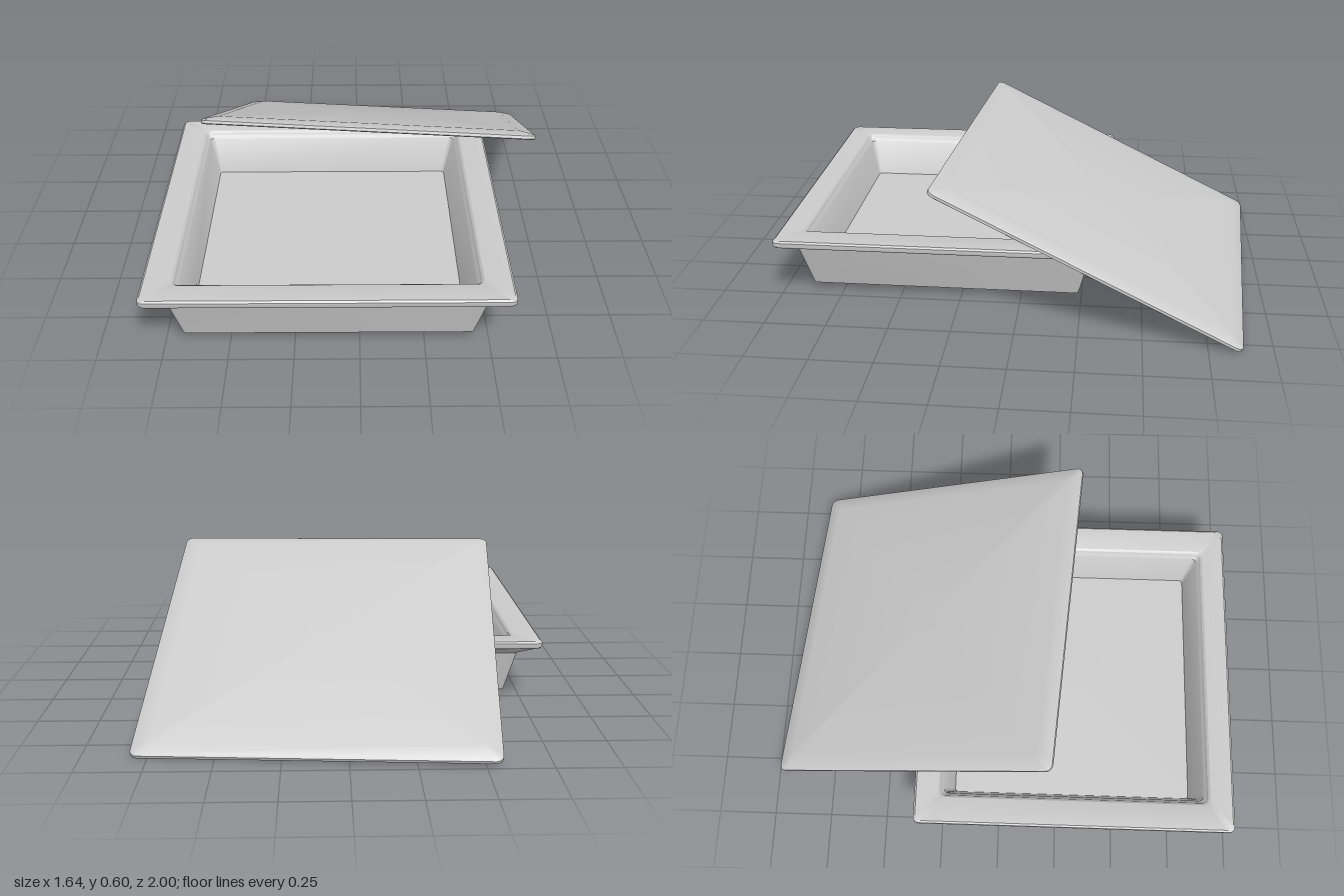
import * as THREE from 'three';
import { mergeVertices, toCreasedNormals } from 'three/addons/utils/BufferGeometryUtils.js';

const CORNER_STEPS = 5;

// Rounded rectangle in the xz plane, running from +x towards +z
function ring(hw, hd, y, r) {
  const pts = [];
  const centres = [[1, 1], [-1, 1], [-1, -1], [1, -1]];
  centres.forEach(([sx, sz], q) => {
    for (let i = 0; i <= CORNER_STEPS; i++) {
      const a = (q + i / CORNER_STEPS) * Math.PI / 2;
      pts.push([sx * (hw - r) + r * Math.cos(a), y, sz * (hd - r) + r * Math.sin(a)]);
    }
  });
  return pts;
}

// Closed skin through sections [halfWidth, halfDepth, y, cornerRadius], underside first
function loft(sections) {
  const rings = sections.map((s) => ring(...s));
  const n = rings[0].length;
  const last = rings.length - 1;
  const pos = rings.flat(2);
  const index = [];
  for (let k = 0; k < last; k++) {
    for (let i = 0; i < n; i++) {
      const j = (i + 1) % n;
      const a = k * n + i, b = k * n + j, c = a + n, d = b + n;
      index.push(a, c, b, b, c, d);
    }
  }
  // flat caps at both ends
  const lo = pos.length / 3, hi = lo + 1;
  pos.push(0, sections[0][2], 0, 0, sections[last][2], 0);
  for (let i = 0; i < n; i++) {
    const j = (i + 1) % n;
    index.push(lo, i, j, hi, last * n + j, last * n + i);
  }
  const geo = new THREE.BufferGeometry();
  geo.setAttribute('position', new THREE.Float32BufferAttribute(pos, 3));
  geo.setIndex(index);
  return toCreasedNormals(mergeVertices(geo), 0.6);
}

export function createModel() {
  const model = new THREE.Group();
  const grey = new THREE.MeshStandardMaterial({ color: 0xcccccc });

  // Tray: tapered wall, flared rim, then down the inside to the floor
  const tray = new THREE.Mesh(loft([
    [0.565, 0.56, 0.03, 0.015],
    [0.61, 0.605, 0.208, 0.02],
    [0.685, 0.665, 0.245, 0.025],
    [0.697, 0.677, 0.25, 0.025],
    [0.701, 0.68, 0.256, 0.025],
    [0.701, 0.68, 0.272, 0.025],
    [0.693, 0.672, 0.279, 0.025],
    [0.59, 0.58, 0.279, 0.025],
    [0.58, 0.57, 0.272, 0.02],
    [0.575, 0.565, 0.258, 0.02],
    [0.566, 0.556, 0.25, 0.02],
    [0.525, 0.515, 0.09, 0.015],
  ]), grey);
  tray.name = 'tray';
  tray.position.set(-0.12, 0, 0.32);
  model.add(tray);

  // Lid: thin plate whose border slopes down, hollow underneath
  const lid = new THREE.Mesh(loft([
    [0.625, 0.605, 0.002, 0.02],
    [0.685, 0.663, -0.01, 0.025],
    [0.692, 0.67, -0.006, 0.03],
    [0.692, 0.67, 0.006, 0.03],
    [0.685, 0.663, 0.011, 0.025],
    [0.625, 0.605, 0.022, 0.02],
  ]), grey);
  lid.name = 'lid';

  // The lid leans on the back of the tray, turned slightly
  const across = new THREE.Vector3(1.38, -0.015, 0.118).normalize();
  const up = new THREE.Vector3(-0.1, 0.57, 1.21).cross(across).normalize();
  const along = new THREE.Vector3().crossVectors(across, up);
  lid.quaternion.setFromRotationMatrix(new THREE.Matrix4().makeBasis(across, up, along));
  lid.position.set(0.08, 0.3, -0.333);
  model.add(lid);

  return model;
}
